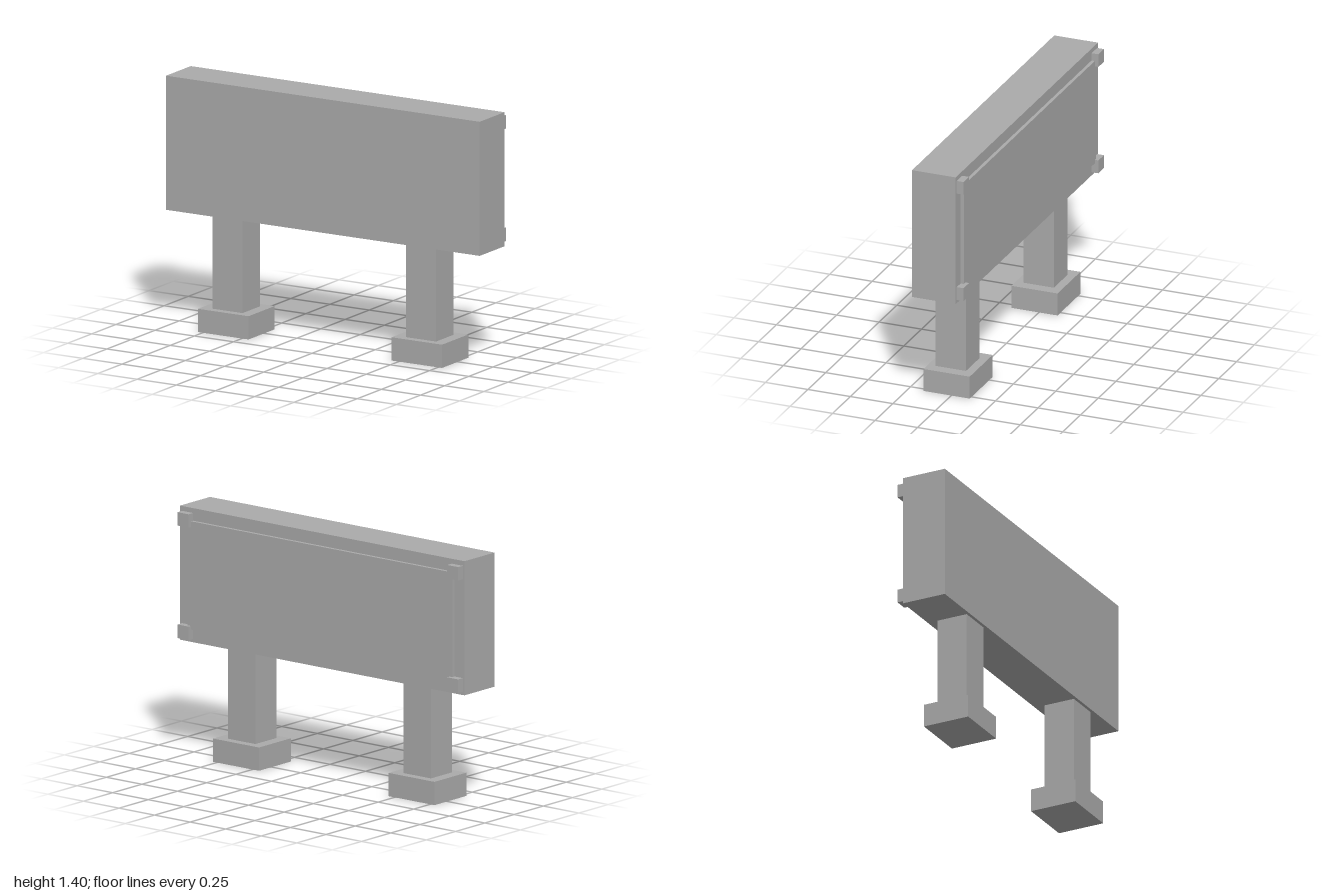
import * as THREE from 'three';

export function createModel() {
  const group = new THREE.Group();
  const grey = new THREE.MeshStandardMaterial({ color: 0xaaaaaa });
  grey.name = 'grey';

  // Box given by its lower and upper limits on each axis
  function block(name, [x0, x1], [y0, y1], [z0, z1]) {
    const mesh = new THREE.Mesh(new THREE.BoxGeometry(x1 - x0, y1 - y0, z1 - z0), grey);
    mesh.position.set((x0 + x1) / 2, (y0 + y1) / 2, (z0 + z1) / 2);
    mesh.name = name;
    group.add(mesh);
  }

  // Main board and the raised plate on its back
  block('board', [-1, 1], [0.65, 1.4], [-0.12, 0.137]);
  block('backPlate', [-0.93, 0.93], [0.725, 1.33], [-0.139, -0.12]);

  for (const side of [-1, 1]) {
    const name = side < 0 ? 'right' : 'left';

    // Post on its footing
    const cx = side * 0.617 - 0.002;
    block(name + 'Post', [cx - 0.096, cx + 0.096], [0.13, 0.65], [-0.06, 0.119]);
    block(name + 'Footing', [cx - 0.161, cx + 0.161], [0, 0.13], [-0.109, 0.163]);

    // Corner brackets that clamp the back plate
    const bx = side * 0.948 - 0.002;
    block(name + 'UpperBracket', [bx - 0.039, bx + 0.039], [1.298, 1.373], [-0.16, -0.12]);
    block(name + 'LowerBracket', [bx - 0.039, bx + 0.039], [0.669, 0.745], [-0.16, -0.12]);
  }
  return group;
}
